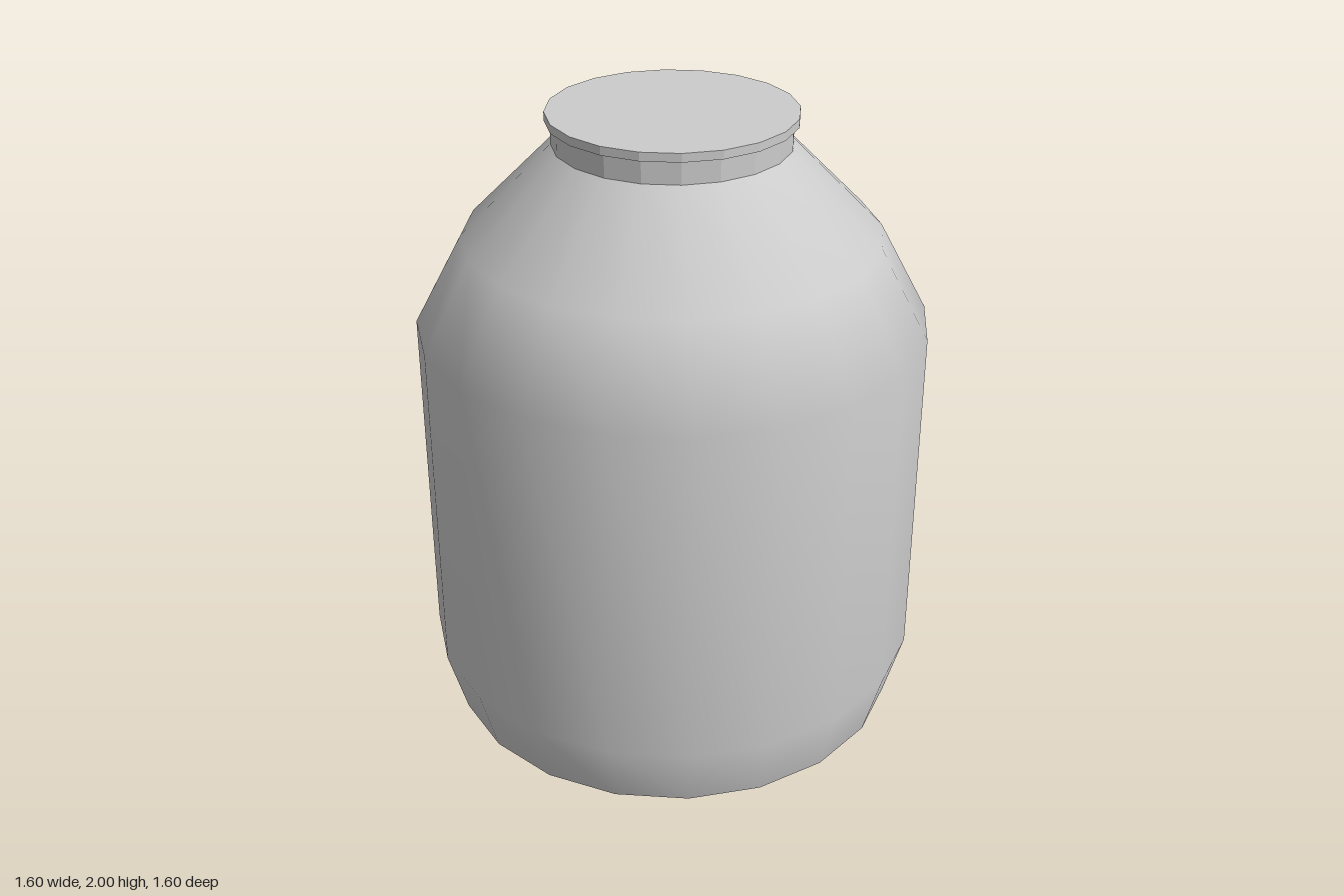
import * as THREE from 'three';

const SIDES = 20;

export function createModel() {
  const group = new THREE.Group();
  const smooth = new THREE.MeshStandardMaterial({ color: 0xcccccc });
  const flat = new THREE.MeshStandardMaterial({ color: 0xcccccc, flatShading: true });

  const add = (name, geometry, material, y = 0) => {
    const mesh = new THREE.Mesh(geometry, material);
    mesh.name = name;
    mesh.position.y = y;
    group.add(mesh);
    return mesh;
  };

  // Smooth wall: tapered foot, straight side, two-step shoulder
  const profile = [[0.74, 0], [0.8, 0.215], [0.8, 1.33], [0.647, 1.615], [0.365, 1.9]]
    .map(([r, y]) => new THREE.Vector2(r, y));
  add('jarBody', new THREE.LatheGeometry(profile, SIDES), smooth);

  // Flat underside
  add('jarBase', new THREE.CircleGeometry(0.74, SIDES).rotateX(Math.PI / 2), flat);

  // Faceted neck
  add('neck', new THREE.CylinderGeometry(0.365, 0.365, 0.075, SIDES, 1, true), flat, 1.9375);

  // Thin lid overhanging the neck
  add('lid', new THREE.CylinderGeometry(0.382, 0.382, 0.027, SIDES), flat, 1.9865);

  return group;
}
